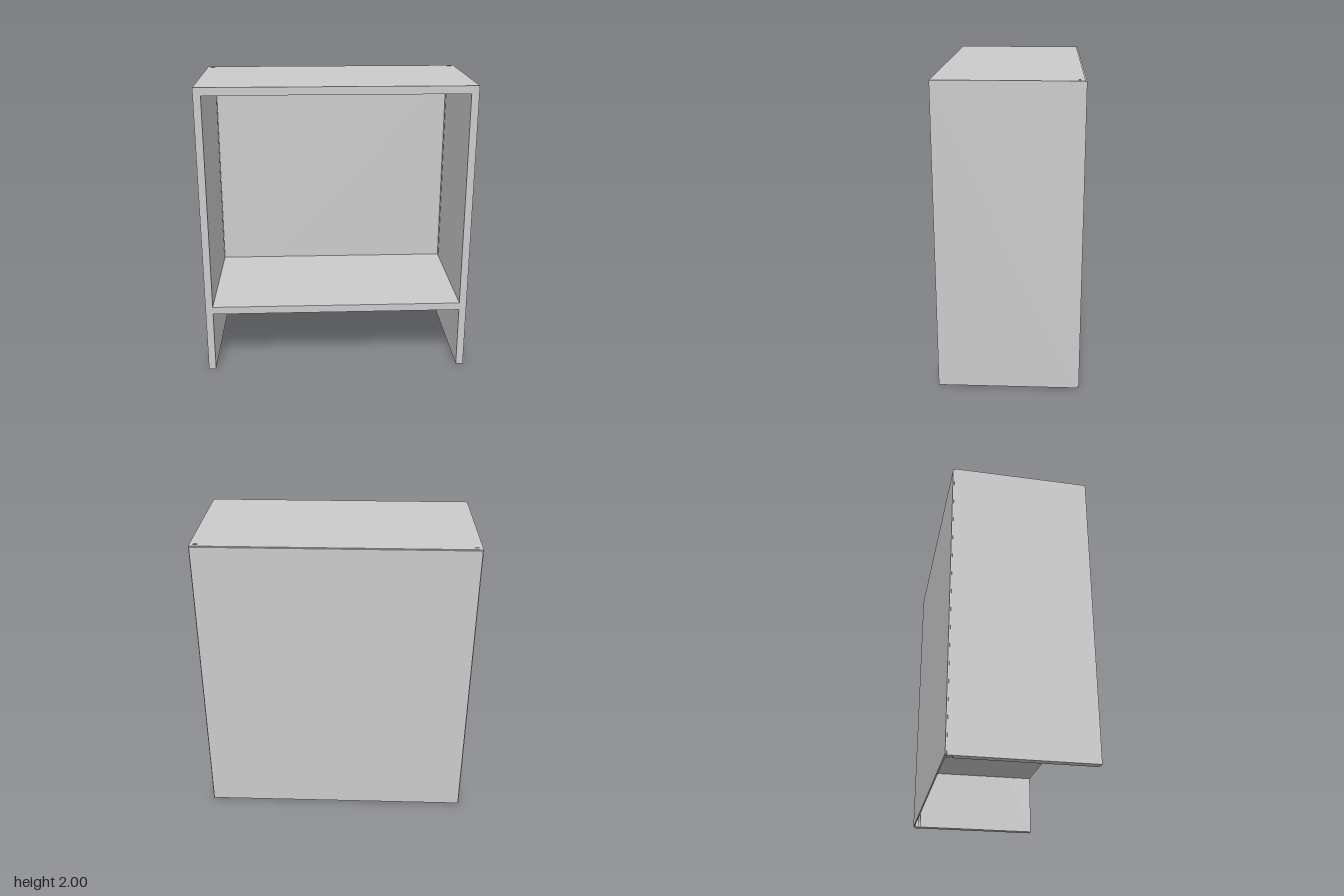
import * as THREE from 'three';

const W = 0.907, IN = 0.857;          // outer and inner half widths
const FRONT = 0.458, BACK = -0.449;   // depth of the carcass
const H = 2;

export function createModel() {
  const group = new THREE.Group();
  const material = new THREE.MeshStandardMaterial({ color: 0xcccccc, flatShading: true });

  const add = (name, geometry) => {
    const mesh = new THREE.Mesh(geometry, material);
    mesh.name = name;
    group.add(mesh);
    return mesh;
  };

  // box given by its minimum and maximum corners
  const board = (name, x0, x1, y0, y1, z0, z1) =>
    add(name, new THREE.BoxGeometry(x1 - x0, y1 - y0, z1 - z0))
      .position.set((x0 + x1) / 2, (y0 + y1) / 2, (z0 + z1) / 2);

  // side panels: plan outline with a groove near the back, extruded upward
  const GROOVE = 0.884, G0 = -0.423, G1 = -0.411;
  const plan = [
    [W, BACK], [W, FRONT], [IN, FRONT], [IN, G1],
    [GROOVE, G1], [GROOVE, G0], [IN, G0], [IN, BACK],
  ];
  for (const [name, s] of [['leftSide', 1], ['rightSide', -1]]) {
    const shape = new THREE.Shape(plan.map(([x, z]) => new THREE.Vector2(s * x, -z)));
    const geometry = new THREE.ExtrudeGeometry(shape, { depth: H, bevelEnabled: false });
    geometry.rotateX(-Math.PI / 2);
    add(name, geometry);
  }

  // top and raised bottom shelf between the sides
  board('top', -IN, IN, 1.948, H, BACK, FRONT);
  board('bottomShelf', -IN, IN, 0.43, 0.482, BACK, FRONT);

  // thin back panel, slightly inset from the outer edges
  board('backPanel', -W + 0.005, W - 0.005, 0.008, H - 0.005, -0.458, BACK);

  return group;
}
